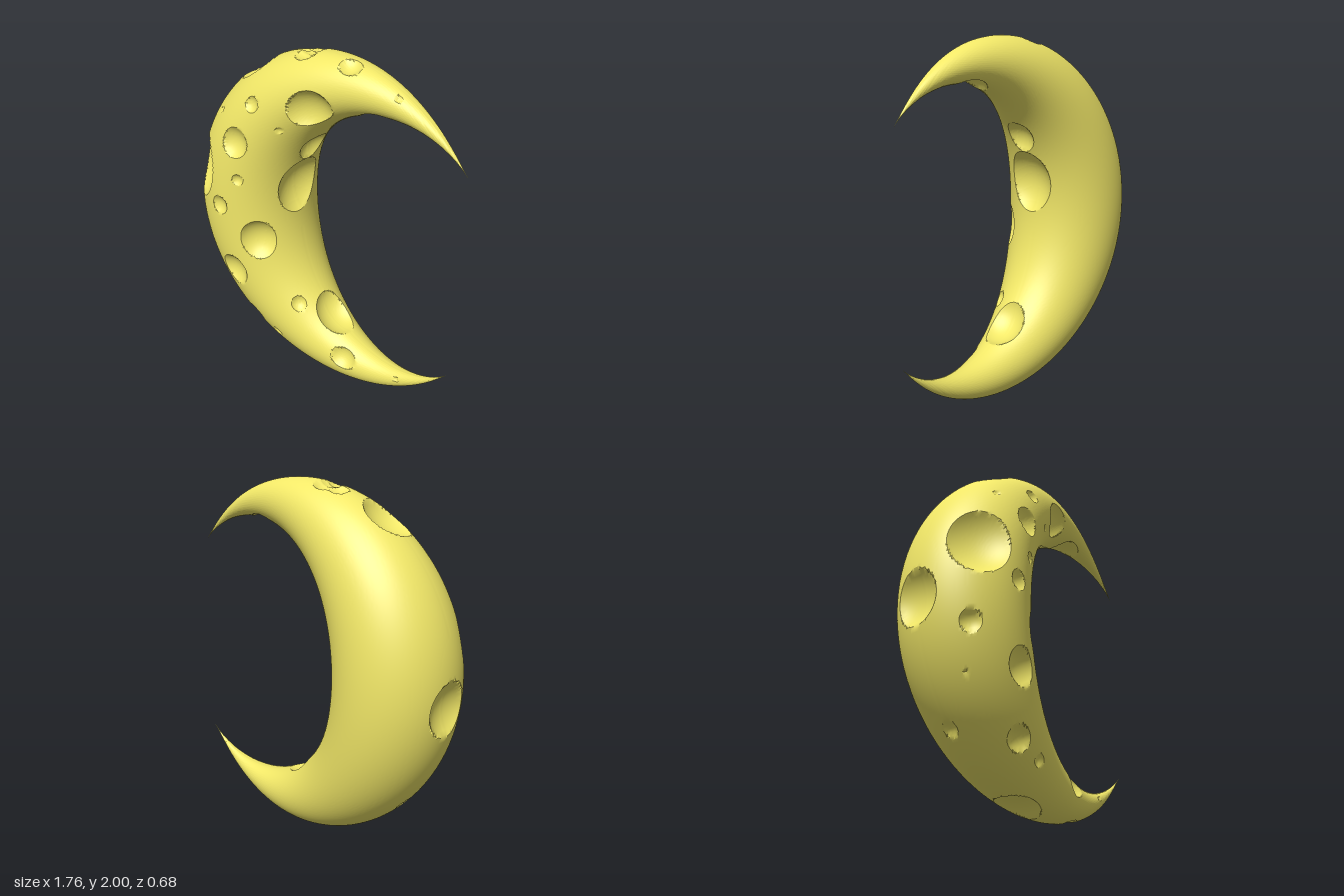
import * as THREE from 'three';
import { toCreasedNormals } from 'three/addons/utils/BufferGeometryUtils.js';

const AXIS = new THREE.Vector3(0.295, 1, 0); // middle of the arc the horns curve around
const HALF_ARC = THREE.MathUtils.degToRad(133.6);
const ALONG = 310, AROUND = 210;

// Circular cross-section at an angle around the axis: thick in the middle, pointed at both tips
function section(angle) {
  const s = Math.min(1, Math.abs(angle - Math.PI) / HALF_ARC);
  const path = 0.845 + 0.018 * Math.sin(Math.PI * s * s) - 0.009 * s ** 4;
  const radius = 0.34 * Math.max(0, Math.cos(s * Math.PI / 2)) ** 1.5 + 0.0003;
  const out = new THREE.Vector3(Math.cos(angle), Math.sin(angle), 0);
  return { out, radius, centre: AXIS.clone().addScaledVector(out, path) };
}

// Craters as [x, y, rim radius, z]; without z the crater lies on the front face
const CRATERS = [
  // front face
  [-0.735, 1.21, 0.21], [0.06, 1.755, 0.125], [-0.3, 1.7, 0.046], [-0.575, 1.58, 0.022],
  [-0.14, 1.59, 0.022], [-0.4, 1.47, 0.092], [-0.395, 1.24, 0.035], [-0.527, 1.04, 0.058],
  [-0.31, 0.84, 0.12], [-0.757, 0.755, 0.06], [-0.46, 0.595, 0.102], [-0.71, 0.525, 0.018],
  [-0.08, 0.445, 0.046], [-0.375, 0.275, 0.072], [-0.21, 0.212, 0.034], [0.25, 0.195, 0.076],
  [0.575, 0.205, 0.017], [0.49, 1.895, 0.02],
  // outer edge
  [0.21, 1.98, 0.062, 0.055], [-0.435, 1.84, 0.16, 0.03], [-0.17, 1.95, 0.06, -0.04],
  [-0.09, 1.97, 0.064, -0.05], [-0.09, 1.97, 0.064, 0], [-0.09, 1.97, 0.064, 0.05],
  [-0.88, 0.91, 0.162, -0.02], [-0.61, 0.31, 0.046, 0], [-0.09, 0.02, 0.145, 0],
  [0.33, 0.03, 0.062, 0],
  // inner edge
  [-0.19, 1.21, 0.165, 0.02], [-0.08, 1.47, 0.09, 0.01], [0.375, 1.755, 0.105, 0],
  [0.1, 0.36, 0.125, 0],
];

// Each crater is a ball floating just outside the surface, cutting a shallow bowl
function craterBall([x, y, rim, z]) {
  let angle = Math.atan2(y - AXIS.y, x - AXIS.x);
  if (angle < 0) angle += 2 * Math.PI;
  const { centre, radius } = section(angle);
  const normal = new THREE.Vector3(x, y, 0).sub(centre);
  normal.z = z ?? Math.sqrt(Math.max(0, radius ** 2 - normal.lengthSq()));
  normal.normalize();
  return {
    centre: centre.addScaledVector(normal, radius + 0.96 * rim),
    radius: 1.386 * rim,
  };
}

// Slides a surface point lying close to a crater rim onto that rim, for clean edges
function snapToRim(point, normal, balls, limit) {
  for (const ball of balls) {
    const away = point.clone().sub(ball.centre);
    const gap = away.length() - ball.radius;
    if (Math.abs(gap) > limit) continue;
    away.normalize().addScaledVector(normal, -away.dot(normal));
    const slope = away.length();
    if (slope > 0.2 && Math.abs(gap) / slope < limit) {
      point.addScaledVector(away, -gap / (slope * slope));
      return;
    }
  }
}

// Pulls a surface point in towards the section centre until it is out of every ball
function carve(point, centre, balls) {
  const dir = point.clone().sub(centre);
  const full = dir.length();
  dir.normalize();
  let reach = full;
  for (const ball of balls) {
    const to = ball.centre.clone().sub(centre);
    const along = to.dot(dir);
    const disc = ball.radius ** 2 - to.lengthSq() + along * along;
    if (disc <= 0) continue;
    const root = Math.sqrt(disc);
    if (along + root > full) reach = Math.min(reach, along - root);
  }
  point.copy(centre).addScaledVector(dir, Math.max(reach, 0.25 * full));
}

function crescentGeometry() {
  const balls = CRATERS.map(craterBall);
  const positions = [], index = [];
  for (let i = 0; i <= ALONG; i++) {
    const { out, radius, centre } = section(Math.PI + HALF_ARC * (2 * i / ALONG - 1));
    const limit = Math.min(0.0055, Math.PI * radius / AROUND);
    // only the balls that come near this section
    const near = balls.filter(b => b.centre.distanceTo(centre) < b.radius + radius + 0.02);
    for (let j = 0; j < AROUND; j++) {
      const v = 2 * Math.PI * j / AROUND;
      const normal = out.clone().multiplyScalar(Math.cos(v)).setZ(Math.sin(v));
      const point = centre.clone().addScaledVector(normal, radius);
      snapToRim(point, normal, near, limit);
      carve(point, centre, near);
      positions.push(point.x, point.y, point.z);
      if (i === ALONG) continue;
      const a = i * AROUND + j, b = i * AROUND + (j + 1) % AROUND;
      index.push(a, a + AROUND, b, b, a + AROUND, b + AROUND);
    }
  }
  const geometry = new THREE.BufferGeometry();
  geometry.setAttribute('position', new THREE.Float32BufferAttribute(positions, 3));
  geometry.setIndex(index);
  return toCreasedNormals(geometry, 0.5);
}

export function createModel() {
  const group = new THREE.Group();
  group.name = 'crescentMoon';
  const moon = new THREE.Mesh(
    crescentGeometry(),
    new THREE.MeshStandardMaterial({ color: 0xf2e868 }),
  );
  moon.name = 'crateredCrescent';
  group.add(moon);
  return group;
}
